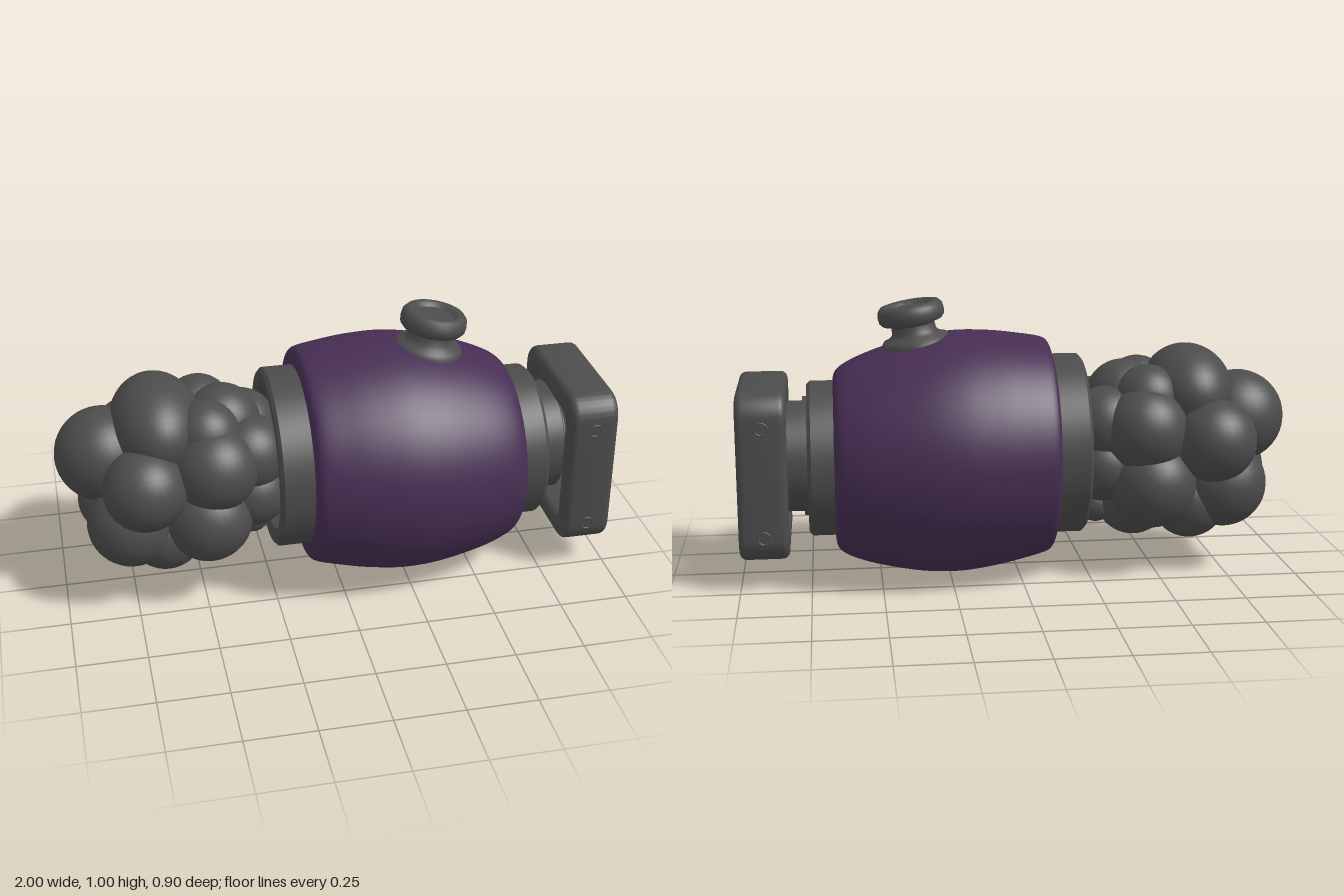
import * as THREE from 'three';
import { toCreasedNormals } from 'three/addons/utils/BufferGeometryUtils.js';

const grey = new THREE.MeshStandardMaterial({ color: 0x4c4c4c });
grey.name = 'dark grey';
const purple = new THREE.MeshStandardMaterial({ color: 0x472e53 });
purple.name = 'deep purple';

function add(group, name, geometry, material = grey) {
  const mesh = new THREE.Mesh(geometry, material);
  mesh.name = name;
  group.add(mesh);
  return mesh;
}

const vectors = (points) => points.map(([a, b]) => new THREE.Vector2(a, b));

// Turned part lying along x; the profile is a list of [x, radius].
function turned(profile, segments = 64) {
  const geo = new THREE.LatheGeometry(vectors(profile.map(([x, r]) => [r, x])), segments);
  geo.rotateZ(-Math.PI / 2);
  return geo;
}

function roundedRect(path, cx, cy, w, h, r) {
  const x = cx - w / 2, y = cy - h / 2;
  path.moveTo(x + r, y);
  path.lineTo(x + w - r, y);
  path.absarc(x + w - r, y + r, r, -Math.PI / 2, 0);
  path.lineTo(x + w, y + h - r);
  path.absarc(x + w - r, y + h - r, r, 0, Math.PI / 2);
  path.lineTo(x + r, y + h);
  path.absarc(x + r, y + h - r, r, Math.PI / 2, Math.PI);
  path.lineTo(x, y + r);
  path.absarc(x + r, y + r, r, Math.PI, Math.PI * 1.5);
  return path;
}

// Barrel with a slightly flattened section and a gently sloping axis.
function barrelGeometry() {
  const curve = new THREE.SplineCurve(vectors([
    [-0.12, 0.375], [-0.1, 0.403], [0, 0.426], [0.1, 0.442], [0.22, 0.45],
    [0.35, 0.438], [0.5, 0.402], [0.6, 0.365], [0.65, 0.33], [0.662, 0.285],
  ]));
  const middle = curve.getPoints(48).map((p) => [p.x, p.y]);
  const geo = turned([[-0.12, 0], ...middle, [0.662, 0]], 80);
  const pos = geo.attributes.position;
  for (let i = 0; i < pos.count; i++) {
    const axis = 0.462 - 0.04 * (pos.getX(i) + 0.12) / 0.78;
    pos.setY(i, pos.getY(i) * 0.975 + axis);
  }
  return toCreasedNormals(geo, 0.7);
}

// Square frame with a rounded opening.
function frameGeometry() {
  const shape = roundedRect(new THREE.Shape(), -0.017, 0.412, 0.546, 0.606, 0.09);
  shape.holes.push(roundedRect(new THREE.Path(), -0.013, 0.402, 0.366, 0.426, 0.035));
  const geo = new THREE.ExtrudeGeometry(shape, {
    depth: 0.125, bevelThickness: 0.025, bevelSize: 0.025, bevelOffset: -0.025,
    bevelSegments: 4, curveSegments: 10,
  });
  geo.rotateY(Math.PI / 2).translate(0.85, 0, 0);
  return toCreasedNormals(geo, 0.6);
}

export function createModel() {
  const model = new THREE.Group();
  model.name = 'model';

  add(model, 'barrelBody', barrelGeometry(), purple);

  // Collars at both ends of the barrel
  const rear = toCreasedNormals(turned([
    [-0.19, 0], [-0.19, 0.255], [-0.23, 0.265], [-0.24, 0.28], [-0.24, 0.315],
    [-0.228, 0.328], [-0.1, 0.328],
  ]), 0.6);
  add(model, 'rearCollar', rear).position.y = 0.463;
  const front = toCreasedNormals(turned([
    [0.64, 0.28], [0.742, 0.28], [0.755, 0.268], [0.755, 0],
  ]), 0.6);
  add(model, 'frontCollar', front).position.y = 0.43;

  // Neck and raised lens inside the frame
  const neck = toCreasedNormals(turned([
    [0.74, 0.215], [0.77, 0.215], [0.77, 0.2], [0.835, 0.2], [0.84, 0.195],
    [0.84, 0.152], [0.86, 0.148], [0.87, 0.132], [0.865, 0.126], [0.865, 0],
  ]), 0.6);
  add(model, 'neckAndLens', neck).position.y = 0.44;
  add(model, 'squareFrame', frameGeometry());

  // Screw rims on both sides of the frame
  for (const z of [0.289, -0.255]) {
    for (const y of [0.205, 0.595]) {
      add(model, 'screwRim', new THREE.TorusGeometry(0.022, 0.004, 8, 24)).position.set(0.91, y, z);
    }
  }

  // Tilted knob on top with a dished cap
  const knobProfile = vectors([
    [0.125, -0.04], [0.125, 0.01], [0.115, 0.024], [0.092, 0.032], [0.08, 0.046],
    [0.078, 0.072], [0.088, 0.08], [0.108, 0.082], [0.118, 0.094], [0.12, 0.112],
    [0.117, 0.133], [0.105, 0.147], [0.09, 0.15], [0.078, 0.146], [0.068, 0.135], [0, 0.133],
  ]);
  const knob = add(model, 'topKnob', toCreasedNormals(new THREE.LatheGeometry(knobProfile, 48), 0.75));
  knob.position.set(0.357, 0.842, 0);
  knob.rotation.z = -0.17;

  // Cluster of lobes: x, y, z, radius; lobes off the middle are mirrored
  const cluster = new THREE.Group();
  cluster.name = 'lobeCluster';
  model.add(cluster);
  const lobes = [
    [-0.83, 0.55, 0, 0.17], [-0.4, 0.63, 0, 0.14], [-0.62, 0.255, 0, 0.14],
    [-0.44, 0.25, 0, 0.14], [-0.8, 0.36, 0, 0.13], [-0.3, 0.23, 0, 0.07],
    [-0.7, 0.5, 0.2, 0.15], [-0.45, 0.54, 0.17, 0.155], [-0.75, 0.325, 0.12, 0.16],
    [-0.48, 0.34, 0.165, 0.16], [-0.63, 0.26, 0.1, 0.14], [-0.47, 0.64, 0.1, 0.125],
    [-0.32, 0.55, 0.1, 0.14], [-0.31, 0.4, 0.11, 0.13],
  ];
  for (const [x, y, z, r] of lobes) {
    for (const side of z ? [1, -1] : [1]) {
      add(cluster, 'lobe', new THREE.SphereGeometry(r, 32, 20)).position.set(x, y, z * side);
    }
  }
  const crown = add(cluster, 'crownLobe', new THREE.SphereGeometry(1, 40, 24));
  crown.scale.set(0.165, 0.17, 0.235);
  crown.position.set(-0.635, 0.652, 0);
  const core = add(cluster, 'clusterCore', new THREE.SphereGeometry(1, 40, 24));
  core.scale.set(0.36, 0.2, 0.2);
  core.position.set(-0.5, 0.46, 0);

  return model;
}
